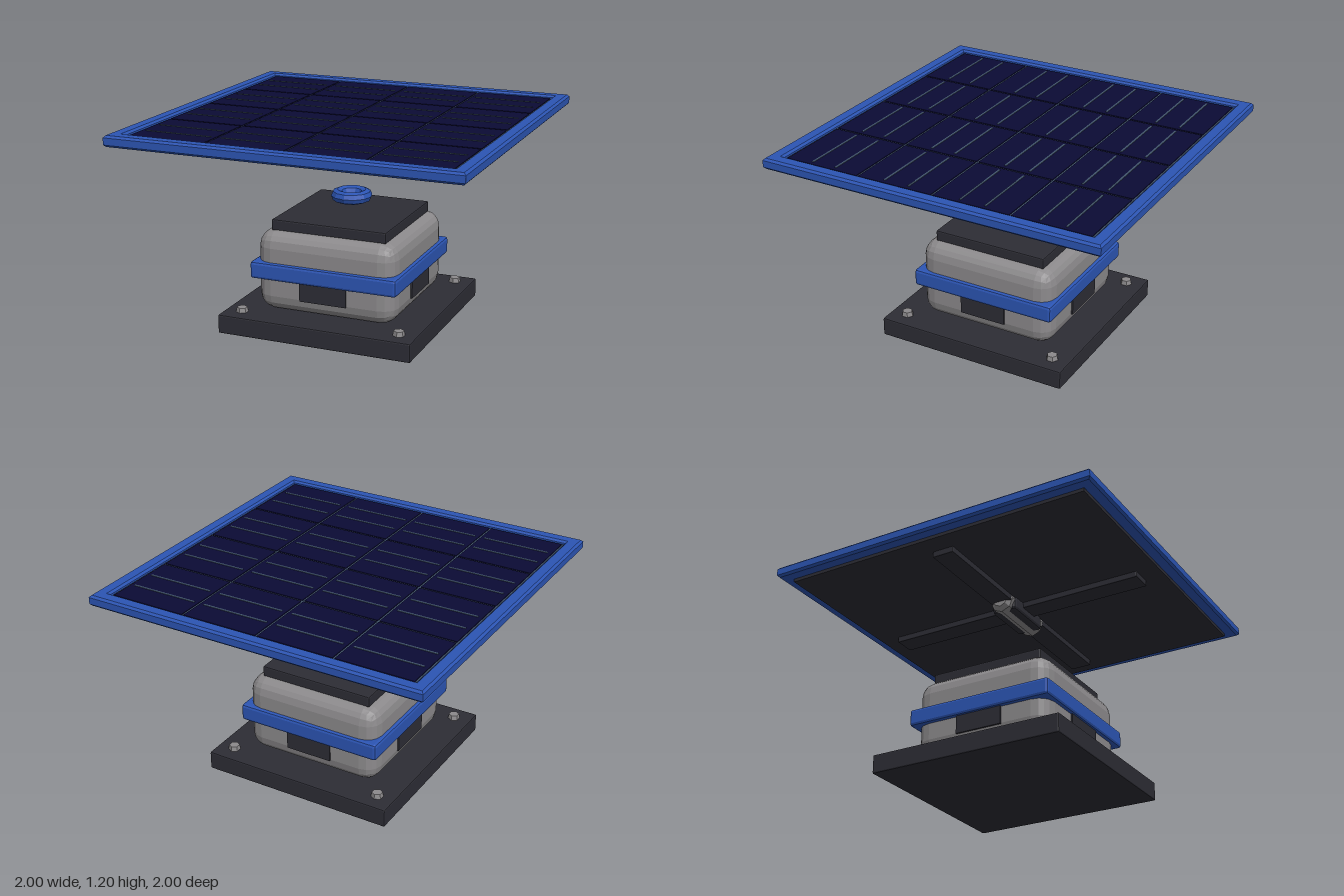
import * as THREE from 'three';
import { RoundedBoxGeometry } from 'three/addons/geometries/RoundedBoxGeometry.js';

const material = (name, color) => {
  const m = new THREE.MeshStandardMaterial({ color });
  m.name = name;
  return m;
};

// Faceted copy of a geometry: one normal per face
function faceted(geometry) {
  const g = geometry.index ? geometry.toNonIndexed() : geometry;
  g.computeVertexNormals();
  return g;
}

function squarePath(path, h) {
  path.moveTo(-h, -h);
  path.lineTo(h, -h);
  path.lineTo(h, h);
  path.lineTo(-h, h);
  path.closePath();
  return path;
}

export function createModel() {
  const blue = material('blue trim', 0x2c55b4);
  const dark = material('dark plastic', 0x2d2d35);
  const grey = material('grey housing', 0x8c8a8c);
  const navy = material('solar cell', 0x0b0b35);
  const line = material('cell line', 0x43566e);

  const model = new THREE.Group();
  model.name = 'solarDevice';

  function add(name, geometry, mat, x = 0, y = 0, z = 0, parent = model) {
    const mesh = new THREE.Mesh(geometry, mat);
    mesh.name = name;
    mesh.position.set(x, y, z);
    parent.add(mesh);
    return mesh;
  }
  // Box given by its size and bottom height, with optional small bevel
  function box(name, w, y0, y1, d, mat, bevel = 0, segments = 1) {
    const h = y1 - y0;
    const g = bevel ? faceted(new RoundedBoxGeometry(w, h, d, segments, bevel)) : new THREE.BoxGeometry(w, h, d);
    return add(name, g, mat, 0, (y0 + y1) / 2, 0);
  }

  // Base and housing
  box('basePlate', 1.155, 0, 0.11, 1.155, dark, 0.008);
  box('housing', 0.835, 0.11, 0.58, 0.835, grey, 0.095, 2);
  box('housingBand', 0.88, 0.302, 0.402, 0.88, blue, 0.016);
  box('housingCap', 0.69, 0.57, 0.635, 0.69, dark, 0.008);

  // Corner bolts
  const boltGeometry = faceted(new THREE.CylinderGeometry(0.03, 0.036, 0.03, 6));
  for (const x of [-0.475, 0.475]) {
    for (const z of [-0.475, 0.475]) add('bolt', boltGeometry, grey, x, 0.122, z);
  }

  // Dark vent on each side of the housing
  for (let i = 0; i < 4; i++) {
    const side = new THREE.Group();
    side.name = 'ventSide';
    side.rotation.y = i * Math.PI / 2;
    model.add(side);
    add('vent', new THREE.BoxGeometry(0.28, 0.11, 0.02), dark, 0, 0.255, 0.417, side);
  }

  // Ring between housing and panel
  const ring = faceted(new THREE.TorusGeometry(0.083, 0.036, 8, 12).rotateX(Math.PI / 2));
  add('ring', ring, blue, 0, 0.725, 0);

  // Hinge barrel lying along x, with its bracket
  const barrel = [[0, -0.2], [0.045, -0.2], [0.072, -0.18], [0.072, 0.18], [0.045, 0.2], [0, 0.2]]
    .map(([r, y]) => new THREE.Vector2(r, y));
  add('hingeBarrel', faceted(new THREE.LatheGeometry(barrel, 8).rotateZ(Math.PI / 2)), grey, 0, 1.1, 0);
  box('hingeBracket', 0.315, 1.04, 1.125, 0.155, dark, 0.018);

  // Crossed struts and backing under the panel
  box('strutX', 1.62, 1.085, 1.125, 0.13, dark, 0.006);
  box('strutZ', 0.13, 1.085, 1.125, 1.62, dark, 0.006);
  box('panelBack', 1.86, 1.12, 1.15, 1.86, dark);

  // Panel frame with bevelled edges
  const bevel = 0.012;
  const frame = squarePath(new THREE.Shape(), 1 - bevel);
  frame.holes.push(squarePath(new THREE.Path(), 0.921 + bevel));
  const frameGeometry = new THREE.ExtrudeGeometry(frame, {
    depth: 0.063 - 2 * bevel, bevelEnabled: true, bevelSize: bevel, bevelThickness: bevel, bevelSegments: 1,
  });
  frameGeometry.rotateX(-Math.PI / 2);
  add('panelFrame', frameGeometry, blue, 0, 1.137 + bevel, 0);

  // Grid bed, 4 by 4 cells and two conductor lines on each cell
  box('panelBed', 1.85, 1.14, 1.178, 1.85, dark);
  box('cellGrid', 1.828, 1.17, 1.181, 1.828, line);
  const cellGeometry = new THREE.BoxGeometry(0.444, 0.008, 0.444);
  const conductorGeometry = new THREE.BoxGeometry(0.395, 0.004, 0.011);
  for (let i = 0; i < 4; i++) {
    for (let j = 0; j < 4; j++) {
      const x = (i - 1.5) * 0.456;
      const z = (j - 1.5) * 0.456;
      add('cell', cellGeometry, navy, x, 1.182, z);
      for (const dz of [-0.073, 0.073]) add('conductor', conductorGeometry, line, x, 1.187, z + dz);
    }
  }
  return model;
}
